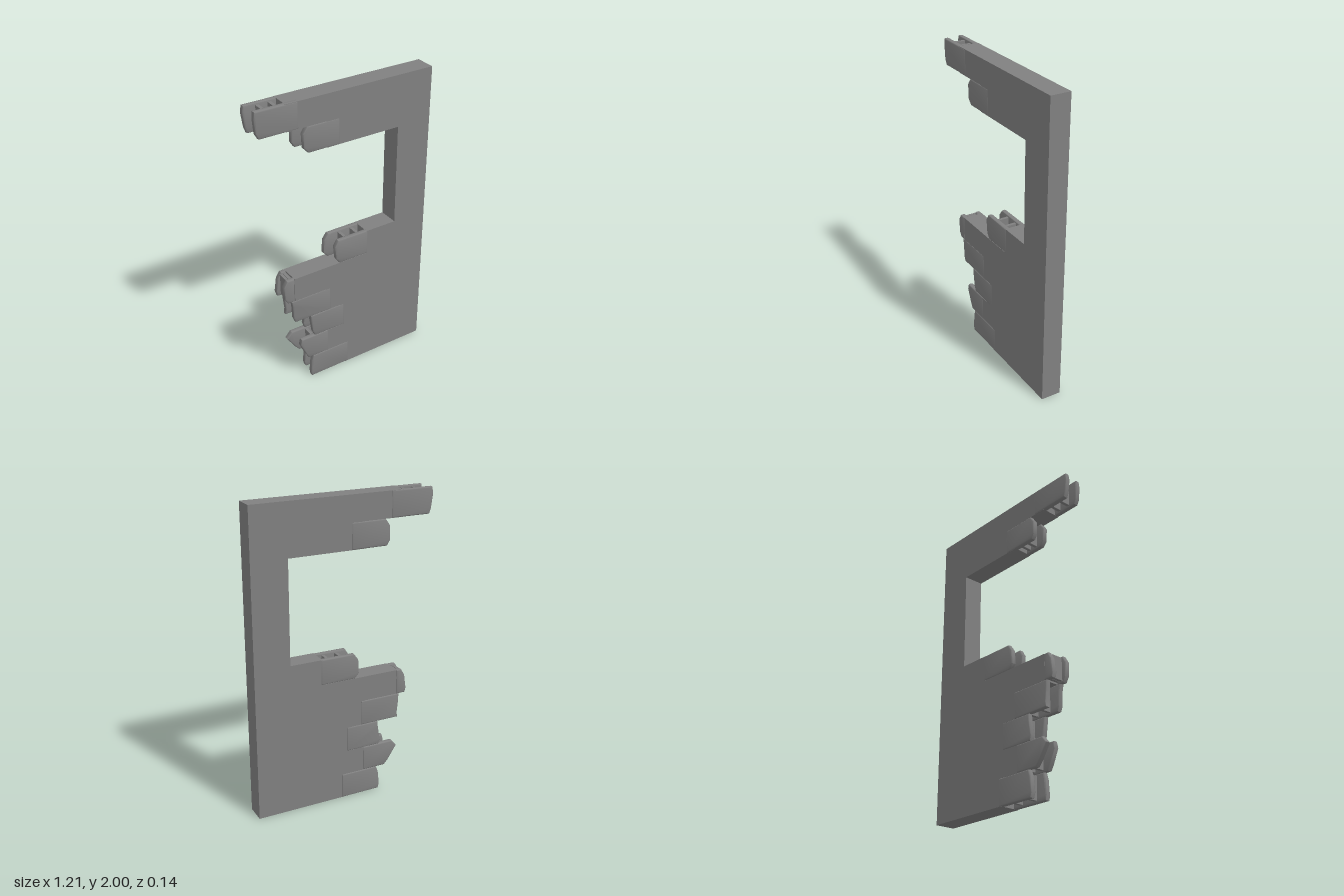
import * as THREE from 'three';
import { toCreasedNormals } from 'three/addons/utils/BufferGeometryUtils.js';

const ROW = 1 / 6; // height of one course of blocks
const HEIGHTS = [0, 0.2, 0.75, 1]; // where the ragged ends are given, as fractions of a course

// Each broken block: course, right end of its shells, start of the solid wall,
// and the x of the ragged left end of each shell from bottom to top
const BLOCKS = [
  { row: 0, right: 0.02, solid: 0, front: [-0.265, -0.27, -0.262, -0.25], back: [-0.25, -0.26, -0.25, -0.235] },
  { row: 1, right: -0.135, solid: -0.14, front: [-0.285, -0.305, -0.345, -0.335], back: [-0.295, -0.325, -0.385, -0.35] },
  { row: 2, right: -0.015, solid: -0.04, front: [-0.235, -0.25, -0.263, -0.265], back: [-0.25, -0.26, -0.245, -0.24] },
  { row: 3, right: -0.115, solid: -0.15, front: [-0.375, -0.388, -0.392, -0.4], back: [-0.39, -0.385, -0.395, -0.395] },
  { row: 4, right: -0.375, solid: -0.375, front: [-0.425, -0.445, -0.45, -0.425], back: [-0.44, -0.448, -0.435, -0.41] },
  { row: 5, right: 0.165, solid: 0.155, front: [-0.045, -0.07, -0.08, -0.055], back: [-0.07, -0.1, -0.095, -0.065] },
  { row: 10, right: -0.045, solid: -0.13, front: [-0.255, -0.285, -0.29, -0.26], back: [-0.285, -0.307, -0.305, -0.275] },
  { row: 11, right: -0.315, solid: -0.395, front: [-0.565, -0.583, -0.59, -0.585], back: [-0.58, -0.592, -0.605, -0.597] },
];

// Soft-edged slab of one block face with a ragged left end
function shellGeometry(edge, right, y0, zMin, zMax) {
  const bevel = 0.008;
  const shape = new THREE.Shape();
  shape.moveTo(right, y0);
  shape.lineTo(right, y0 + ROW);
  for (let i = edge.length - 1; i >= 0; i--) shape.lineTo(edge[i], y0 + HEIGHTS[i] * ROW);
  shape.closePath();
  const geometry = new THREE.ExtrudeGeometry(shape, {
    depth: zMax - zMin - 2 * bevel, bevelSize: bevel, bevelThickness: bevel,
    bevelOffset: -bevel, bevelSegments: 2,
  });
  geometry.translate(0, 0, zMin + bevel);
  return toCreasedNormals(geometry, 0.8);
}

export function createModel() {
  const model = new THREE.Group();
  model.name = 'brokenBlockWall';
  const concrete = new THREE.MeshStandardMaterial({ color: 0x808080 });
  concrete.name = 'concrete grey';

  const add = (parent, name, geometry) => {
    const mesh = new THREE.Mesh(geometry, concrete);
    mesh.name = name;
    parent.add(mesh);
    return mesh;
  };

  // Solid wall: stepped left side following the courses, with a window gap
  const outline = new THREE.Shape();
  outline.moveTo(0.605, 0);
  outline.lineTo(0.605, 2);
  const gap = { row: 6, solid: 0.37, courses: 4 };
  const steps = [...BLOCKS, gap].sort((a, b) => b.row - a.row);
  for (const { row, solid, courses = 1 } of steps) {
    outline.lineTo(solid, (row + courses) * ROW);
    outline.lineTo(solid, row * ROW);
  }
  outline.closePath();
  const wall = new THREE.ExtrudeGeometry(outline, { depth: 0.132, bevelEnabled: false });
  wall.translate(0, 0, -0.067);
  add(model, 'wall', wall);

  // Broken hollow blocks: two face shells joined by cross webs
  for (const { row, right, solid, front, back } of BLOCKS) {
    const block = new THREE.Group();
    block.name = 'brokenBlock' + row;
    const y0 = row * ROW;
    add(block, 'frontShell', shellGeometry(front, right, y0, 0.033, 0.067));
    add(block, 'backShell', shellGeometry(back, right, y0, -0.071, -0.037));

    // Webs sit at fixed fractions of the hollow part
    for (const t of [0.25, 0.7]) {
      const web = add(block, 'web', new THREE.BoxGeometry(0.02, ROW - 0.02, 0.085));
      web.position.set(THREE.MathUtils.lerp(solid, front[0], t), y0 + ROW / 2, -0.002);
    }
    model.add(block);
  }
  return model;
}
